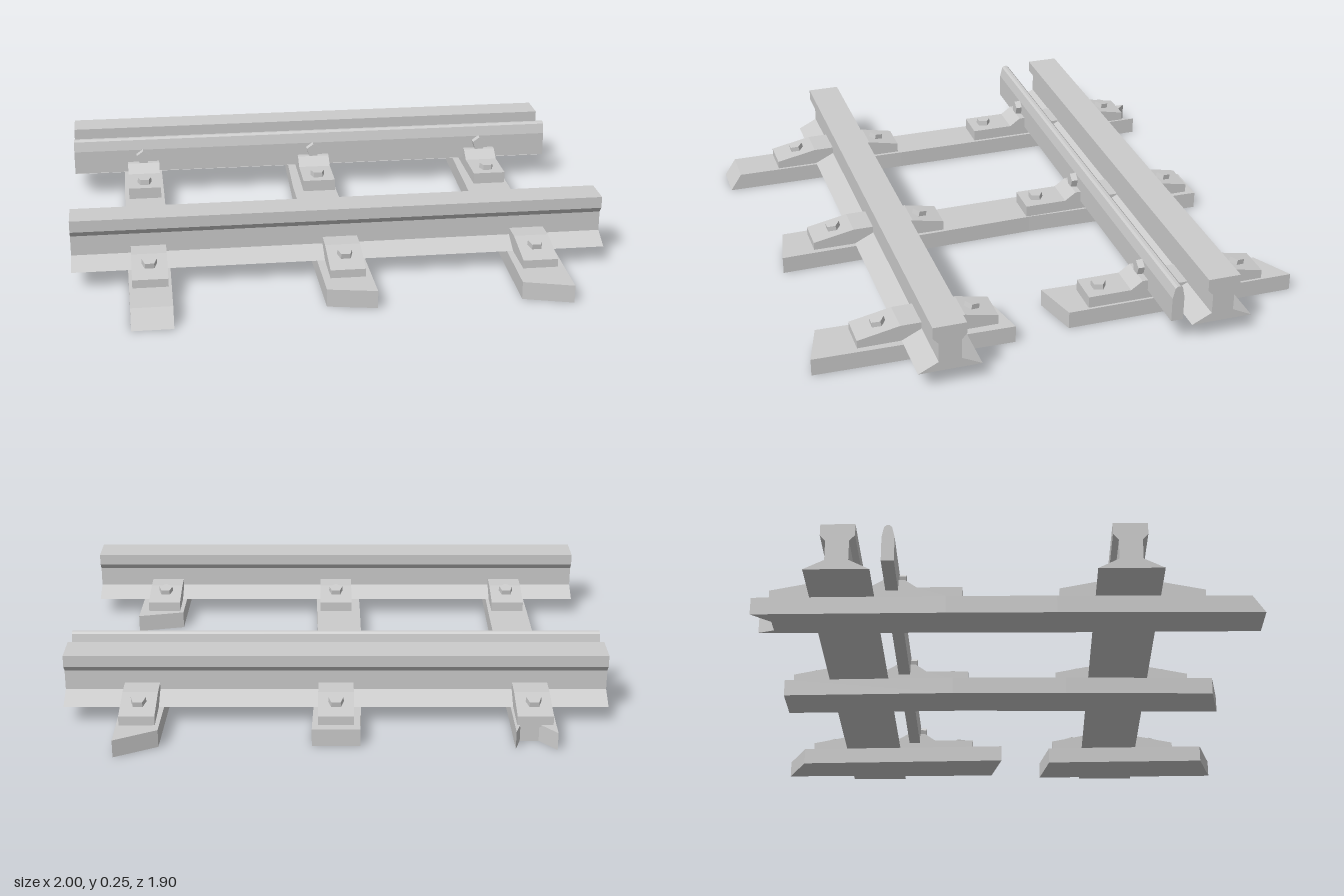
import * as THREE from 'three';

const material = new THREE.MeshStandardMaterial({ color: 0xcccccc, flatShading: true });
const TIE_TOP = 0.067;
const TIE_X = [-0.715, 0, 0.715];

function mesh(name, geometry) {
  const m = new THREE.Mesh(geometry, material);
  m.name = name;
  return m;
}

function extrude(points, depth) {
  const shape = new THREE.Shape(points.map(([a, b]) => new THREE.Vector2(a, b)));
  return new THREE.ExtrudeGeometry(shape, { depth, bevelEnabled: false });
}

// Sweeps a (z, y) section along x, centred on x = 0.
function bar(name, section, length) {
  return mesh(name, extrude(section, length).translate(0, 0, -length / 2).rotateY(-Math.PI / 2));
}

// Raises an (x, z) outline into a plank standing on y = 0.
function plank(name, outline) {
  return mesh(name, extrude(outline, TIE_TOP).rotateX(Math.PI / 2).translate(0, TIE_TOP, 0));
}

// Five-sided bolt head, one corner towards -z
function bolt(name, radius = 0.03, height = 0.022) {
  return mesh(name, new THREE.CylinderGeometry(radius * 0.95, radius, height, 5).rotateY(Math.PI));
}

function rail(name, z) {
  const half = [[0.117, TIE_TOP], [0.042, 0.104], [0.042, 0.18], [0.062, 0.203], [0.062, 0.247]];
  const mirrored = half.map(([d, y]) => [-d, y]).reverse();
  const r = bar(name, [...half, ...mirrored], 2);
  r.position.z = z;
  return r;
}

// Sloping clip with its bolt; reaches out from the rail along side * z
function clip(name, x, railZ, side, reach, boltAt) {
  const g = new THREE.Group();
  g.name = name;
  const slope = 0.2;
  const knee = 0.12;
  const edgeY = 0.13 - (reach - knee) * slope;
  g.add(bar('clipPlate', [[0.03, 0.06], [reach, 0.06], [reach, edgeY], [knee, 0.13], [0.03, 0.13]], 0.13));
  const b = bolt('clipBolt');
  b.position.set(0, 0.13 - (boltAt - knee) * slope + 0.009, boltAt);
  b.rotation.x = Math.atan(slope);
  g.add(b);
  g.position.set(x, 0, railZ);
  g.rotation.y = side > 0 ? 0 : Math.PI;
  return g;
}

// Long chair that holds both the rear rail and the guard rail
function guardChair(x) {
  const g = new THREE.Group();
  g.name = 'guardChair';
  g.add(bar('chairPlate', [
    [-0.14, 0.06], [-0.14, 0.112], [-0.306, 0.112], [-0.35, 0.143],
    [-0.425, 0.143], [-0.485, 0.108], [-0.54, 0.108], [-0.54, 0.06],
  ], 0.13));
  const top = bolt('chairBolt');
  top.position.set(0, 0.122, -0.2);
  const sideBolt = bolt('guardBolt', 0.03, 0.026);
  sideBolt.rotation.x = Math.PI / 2;
  sideBolt.position.set(0, 0.168, -0.36);
  g.add(top, sideBolt);
  g.position.x = x;
  return g;
}

export function createModel() {
  const model = new THREE.Group();
  model.name = 'brokenTrack';

  // Left tie: split rear end, bevelled front end
  const split = plank('splitTie', [
    [-0.79, 0.945], [-0.64, 0.945], [-0.636, 0.2], [-0.637, -0.2], [-0.642, -0.89],
    [-0.662, -0.83], [-0.73, -0.83], [-0.79, -0.9], [-0.797, -0.2], [-0.797, 0.2],
  ]);
  const pos = split.geometry.attributes.position;
  for (let i = 0; i < pos.count; i++) {
    if (pos.getZ(i) > 0.94 && pos.getY(i) > 0.01) pos.setZ(i, 0.9);
  }
  split.geometry.computeVertexNormals();

  // Middle tie, slightly warped, and the snapped tie in two pieces
  const middle = plank('middleTie', [
    [-0.09, 0.83], [0.09, 0.865], [0.08, 0.3], [0.07, -0.15], [0.087, -0.87], [-0.087, -0.87],
    [-0.103, -0.2], [-0.1, 0.25],
  ]);
  const snappedRear = plank('snappedTieRear', [[0.61, -0.013], [0.79, -0.06], [0.79, -0.955], [0.636, -0.875]]);
  const snappedFront = plank('snappedTieFront', [[0.62, 0.853], [0.8, 0.907], [0.816, 0.155], [0.636, 0.195]]);
  model.add(split, middle, snappedRear, snappedFront);

  // Running rails
  const frontZ = 0.455;
  const rearZ = -0.573;
  model.add(rail('frontRail', frontZ), rail('rearRail', rearZ));

  // Thin guard rail beside the rear rail
  model.add(bar('guardRail', [
    [-0.372, 0.1], [-0.372, 0.195], [-0.382, 0.235], [-0.39, 0.242],
    [-0.402, 0.242], [-0.41, 0.235], [-0.418, 0.195], [-0.418, 0.1],
  ], 2));

  // Fastenings on each tie
  for (const x of TIE_X) {
    model.add(
      clip('frontOuterClip', x, frontZ, 1, 0.28, 0.19),
      clip('frontInnerClip', x, frontZ, -1, 0.245, 0.165),
      clip('rearOuterClip', x, rearZ, -1, 0.264, 0.187),
      guardChair(x),
    );
  }
  return model;
}
